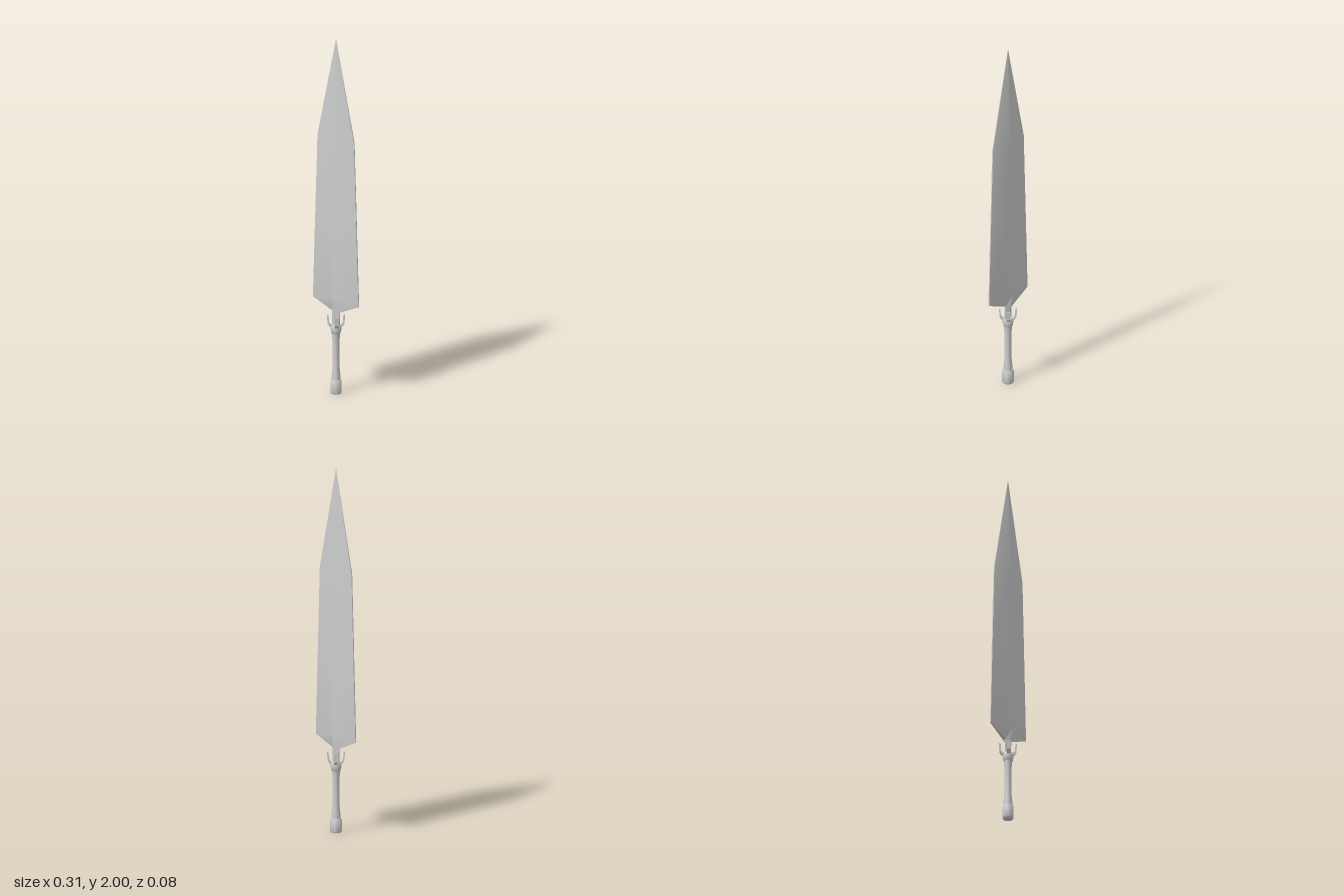
import * as THREE from 'three';
import { toCreasedNormals } from 'three/addons/utils/BufferGeometryUtils.js';

const material = new THREE.MeshStandardMaterial({ color: 0xcccccc });

function part(name, geometry) {
  const mesh = new THREE.Mesh(geometry, material);
  mesh.name = name;
  return mesh;
}

// Diamond sections with slim blunt edges: [half width, edge y, half depth, ridge y]
function bladeGeometry() {
  const sections = [
    [0.024, 0.37, 0.013, 0.37],
    [0.025, 0.465, 0.016, 0.45],
    [0.155, 0.517, 0.03, 0.53],
    [0.139, 1.0, 0.025, 1.0],
    [0.124, 1.44, 0.019, 1.44],
    [0.0005, 2.0, 0.0005, 2.0],
  ];
  const positions = [];
  const index = [];
  for (const [w, edgeY, d, ridgeY] of sections) {
    const e = Math.min(0.003, d * 0.5);
    positions.push(
      w, edgeY, -e, w, edgeY, e, 0, ridgeY, d,
      -w, edgeY, e, -w, edgeY, -e, 0, ridgeY, -d,
    );
  }
  for (let r = 0; r < sections.length - 1; r++) {
    for (let i = 0; i < 6; i++) {
      const a = r * 6 + i, b = r * 6 + (i + 1) % 6;
      // the ring runs clockwise from above, so wind a, a+6, b
      index.push(a, a + 6, b, b, a + 6, b + 6);
    }
  }
  const last = (sections.length - 1) * 6;
  for (let i = 1; i < 5; i++) {
    index.push(0, i, i + 1, last, last + i + 1, last + i);
  }
  const geometry = new THREE.BufferGeometry();
  geometry.setAttribute('position', new THREE.Float32BufferAttribute(positions, 3));
  geometry.setIndex(index);
  return toCreasedNormals(geometry, 0.4);
}

function lathe(points) {
  const profile = points.map(([r, y]) => new THREE.Vector2(r, y));
  return toCreasedNormals(new THREE.LatheGeometry(profile, 16), 0.6);
}

// Hooked claw, drawn side-on and swept across its width
function clawGeometry() {
  const outline = [
    [0.022, 0.372], [0.036, 0.38], [0.045, 0.395], [0.048, 0.443],
    [0.041, 0.443], [0.038, 0.402], [0.032, 0.392], [0.022, 0.388],
  ].map(([x, y]) => new THREE.Vector2(x, y));
  const width = 0.02;
  const geometry = new THREE.ExtrudeGeometry(new THREE.Shape(outline), { depth: width, bevelEnabled: false });
  return geometry.translate(0, 0, -width / 2);
}

export function createModel() {
  const sword = new THREE.Group();
  sword.name = 'sword';

  const blade = bladeGeometry();
  // Ring order x+ -> z+ -> x- is clockwise seen from above: check and fix facing
  const p = blade.getAttribute('position');
  const n = blade.getAttribute('normal');
  let facing = 0;
  for (let i = 0; i < p.count; i++) facing += p.getZ(i) * n.getZ(i);
  if (facing < 0) {
    for (let i = 0; i < p.count; i += 3) {
      for (const attribute of [p, n]) {
        const b = new THREE.Vector3().fromBufferAttribute(attribute, i + 1);
        const c = new THREE.Vector3().fromBufferAttribute(attribute, i + 2);
        attribute.setXYZ(i + 1, c.x, c.y, c.z);
        attribute.setXYZ(i + 2, b.x, b.y, b.z);
      }
    }
    for (let i = 0; i < n.array.length; i++) n.array[i] *= -1;
  }
  sword.add(part('blade', blade));

  // Handle: pommel, slim grip and collar
  sword.add(part('pommel', lathe([[0, 0], [0.027, 0], [0.031, 0.006], [0.031, 0.07], [0.027, 0.078], [0, 0.078]])));
  sword.add(part('grip', lathe([[0.025, 0.07], [0.024, 0.1], [0.02, 0.14], [0.019, 0.23], [0.02, 0.31], [0.024, 0.345]])));
  sword.add(part('collar', lathe([[0.02, 0.335], [0.025, 0.342], [0.029, 0.36], [0.029, 0.38], [0.025, 0.388], [0, 0.388]])));

  // Four claws around the blade root
  const claw = clawGeometry();
  for (let i = 0; i < 4; i++) {
    const mesh = part('claw', claw);
    mesh.rotation.y = Math.PI / 4 + i * Math.PI / 2;
    sword.add(mesh);
  }
  return sword;
}
